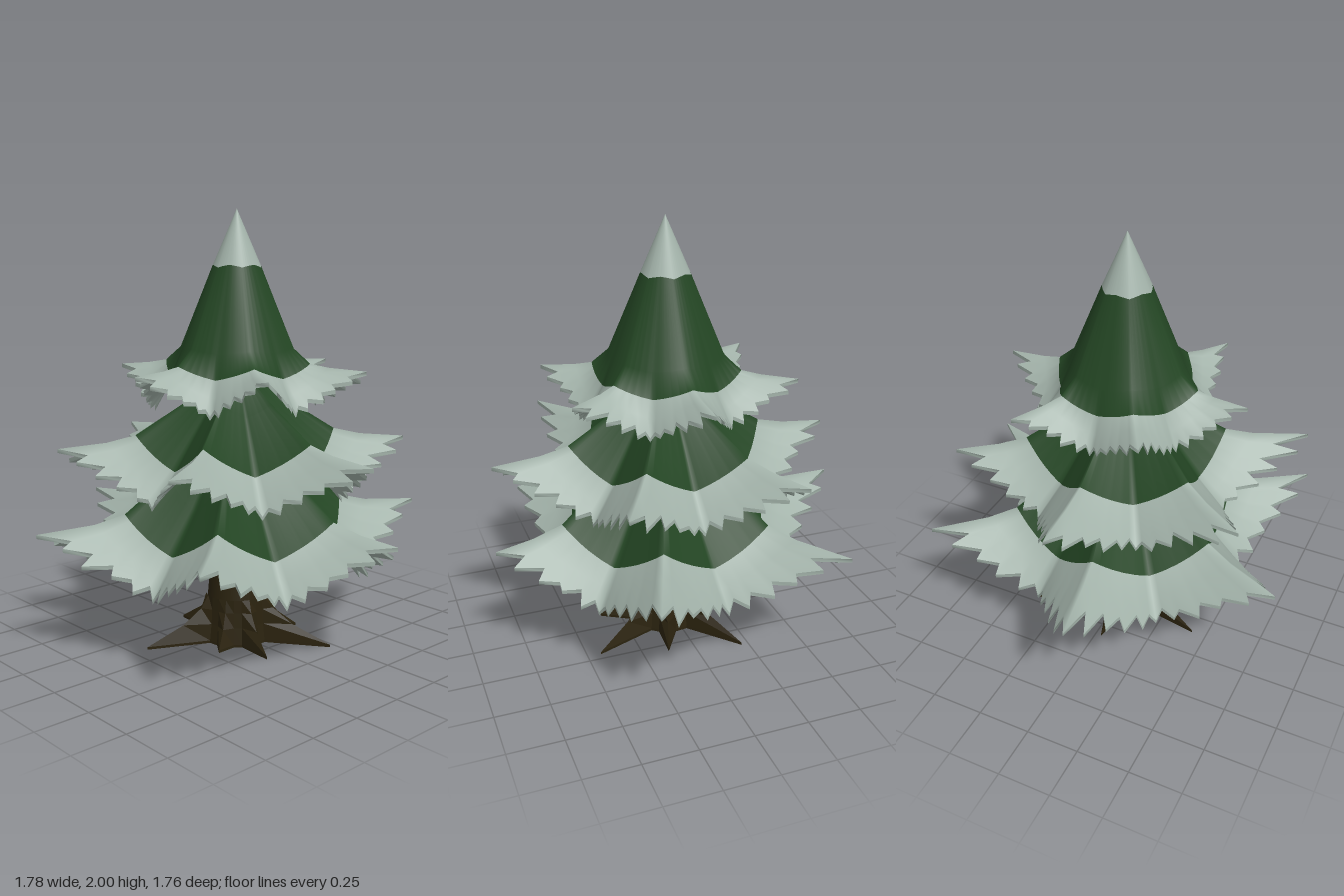
import * as THREE from 'three';

const snow = new THREE.MeshStandardMaterial({ color: 0xa3b3aa });
snow.name = 'snow';
const needles = new THREE.MeshStandardMaterial({ color: 0x234523 });
needles.name = 'needle green';
const bark = new THREE.MeshStandardMaterial({ color: 0x2b230f });
bark.name = 'bark brown';

const DEG = Math.PI / 180;
const THICK = 0.018;

function seeded(seed) {
  let s = seed;
  return () => (s = (s * 16807) % 2147483647) / 2147483647;
}

// Skin over rings of points running from top to bottom; bands gives each gap's material index
function loft(rings, bands, flip = false) {
  const n = rings[0].length;
  const geo = new THREE.BufferGeometry();
  geo.setAttribute('position', new THREE.Float32BufferAttribute(rings.flat(2), 3));
  const index = [];
  for (let i = 0; i < rings.length - 1; i++) {
    geo.addGroup(index.length, n * 6, bands[i]);
    for (let j = 0; j < n; j++) {
      const k = (j + 1) % n;
      const a = i * n + j, c = i * n + k, b = a + n, d = c + n;
      if (flip) index.push(a, b, c, c, b, d);
      else index.push(a, c, b, c, d, b);
    }
  }
  geo.setIndex(index);
  geo.computeVertexNormals();
  return geo;
}

// Snow-edged skirt: six raised tips with drooping lobes between, rim cut into teeth.
// Profile rows are [tip radius, tip height, lobe radius, lobe height].
function branchTier(name, { turn, tips, rows, bands, seed }) {
  const rand = seeded(seed);
  const teeth = [0, 0.16, 0.22, 0.38, 0.44, 0.58, 0.64, 0.78, 0.84, 0.93];
  const columns = [];
  for (let s = 0; s < 6; s++) {
    teeth.forEach((t, i) => columns.push({ s, t, side: 1, notch: i % 2 === 1 }));
    columns.push({ s, t: 1, side: 1, notch: false });
    for (let i = teeth.length - 1; i > 0; i--) {
      columns.push({ s: s + 1, t: teeth[i], side: -1, notch: i % 2 === 1 });
    }
  }
  const rings = rows.map(() => []);
  const last = rows.length - 1;
  for (const { s, t, side, notch } of columns) {
    const tipR = tips[s % 6];
    const lobeR = rows[last][2];
    // straight rim from tip to lobe fixes this column's direction
    const px = THREE.MathUtils.lerp(tipR, lobeR * Math.cos(30 * DEG), t);
    const pz = lobeR * 0.5 * t;
    const ang = (turn + s * 60) * DEG + side * Math.atan2(pz, px);
    const mid = THREE.MathUtils.lerp(rows[last - 1][0], rows[last - 1][2], t);
    const midY = THREE.MathUtils.lerp(rows[last - 1][1], rows[last - 1][3], t);
    let k = 1;
    if (notch) k = 0.5 + 0.25 * rand();
    else if (t > 0 && t < 1) k = 0.95 + 0.25 * rand();
    rows.forEach((row, i) => {
      let r = THREE.MathUtils.lerp(row[0], row[2], t);
      let y = THREE.MathUtils.lerp(row[1], row[3], t);
      if (i === last) {
        r = THREE.MathUtils.lerp(mid, Math.hypot(px, pz), k);
        y = THREE.MathUtils.lerp(midY, y, k);
      }
      rings[i].push([r * Math.cos(ang), y, r * Math.sin(ang)]);
    });
  }
  const under = rings.map((ring) => ring.map(([x, y, z]) => [x, y - THICK, z]));
  const mats = [needles, snow];
  const tier = new THREE.Group();
  tier.name = name;
  const add = (part, geo) => {
    const mesh = new THREE.Mesh(geo, mats);
    mesh.name = part;
    tier.add(mesh);
  };
  add('upperSide', loft(rings, bands));
  add('underSide', loft(under, bands, true));
  add('rim', loft([rings[last], under[last]], [1]));
  return tier;
}

// Flared star of roots: [direction in degrees, reach]
function makeRoots() {
  const spread = [[18, 0.33], [62, 0.24], [108, 0.45], [175, 0.36], [237, 0.45], [288, 0.32], [332, 0.46]];
  const columns = [];
  for (const [a, reach] of spread) columns.push([a - 15, 0.16], [a, reach], [a + 15, 0.16]);
  const levels = [[0.22, 0], [0.16, 0.12], [0.09, 0.42], [0.012, 1], [0, 1]];
  const rings = levels.map(([y, f]) => columns.map(([a, reach]) => {
    const r = 0.145 + (reach - 0.145) * f;
    return [r * Math.cos(a * DEG), y, r * Math.sin(a * DEG)];
  }));
  rings.push(columns.map(() => [0, 0, 0]));
  const geo = loft(rings, [0, 0, 0, 0, 0]).toNonIndexed();
  geo.clearGroups();
  geo.computeVertexNormals();
  const mesh = new THREE.Mesh(geo, bark);
  mesh.name = 'roots';
  return mesh;
}

export function createModel() {
  const tree = new THREE.Group();
  tree.name = 'snowyPine';
  const body = new THREE.Group();
  body.name = 'tree';
  body.position.x = 0.03;
  tree.add(body);

  // Trunk
  const trunk = new THREE.Mesh(new THREE.CylinderGeometry(0.045, 0.152, 1.3, 20), bark);
  trunk.name = 'trunk';
  trunk.position.y = 0.67;
  body.add(trunk, makeRoots());

  // Branch tiers, bottom to top
  body.add(branchTier('lowerBranches', {
    turn: -9, seed: 11,
    tips: [0.86, 0.95, 0.94, 0.945, 0.95, 0.95],
    rows: [
      [0.05, 1.03, 0.05, 1.03],
      [0.17, 0.95, 0.16, 0.88],
      [0.33, 0.81, 0.3, 0.67],
      [0.54, 0.645, 0.45, 0.49],
      [0.68, 0.61, 0.51, 0.415],
      [0.95, 0.59, 0.58, 0.33],
    ],
    bands: [0, 0, 0, 1, 1],
  }));
  body.add(branchTier('middleBranches', {
    turn: 0, seed: 29,
    tips: [0.82, 0.87, 0.82, 0.81, 0.8, 0.82],
    rows: [
      [0.04, 1.28, 0.04, 1.28],
      [0.23, 1.14, 0.19, 1.08],
      [0.47, 0.99, 0.37, 0.85],
      [0.6, 0.96, 0.44, 0.775],
      [0.83, 0.94, 0.5, 0.71],
    ],
    bands: [0, 0, 1, 1],
  }));
  body.add(branchTier('topBranches', {
    turn: 30, seed: 47,
    tips: [0.59, 0.58, 0.57, 0.6, 0.6, 0.6],
    rows: [
      [0, 2, 0, 2],
      [0.113, 1.74, 0.108, 1.752],
      [0.265, 1.385, 0.255, 1.37],
      [0.345, 1.315, 0.3, 1.26],
      [0.43, 1.3, 0.34, 1.185],
      [0.59, 1.288, 0.38, 1.115],
    ],
    bands: [1, 0, 0, 1, 1],
  }));
  return tree;
}
